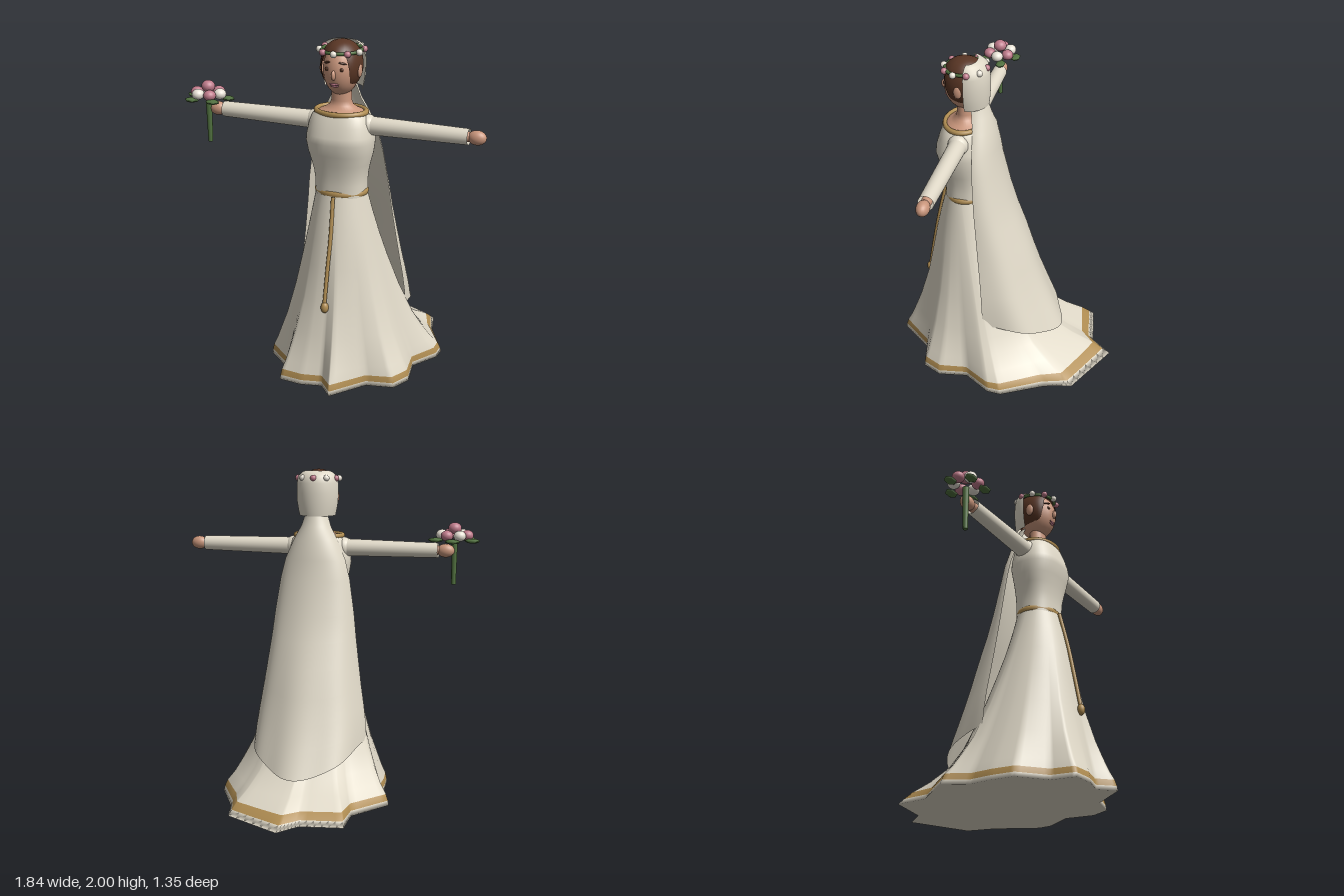
import * as THREE from 'three';

const CX = 0.075, CZ = 0.235; // body axis
const mat = (name, color, side = THREE.FrontSide) => {
  const m = new THREE.MeshStandardMaterial({ color, side });
  m.name = name;
  return m;
};

// Surface from nv + 1 rows of nu columns; point(u, j, i) returns [x, y, z]
function grid(nu, nv, closed, point) {
  const pos = [], idx = [], cols = closed ? nu : nu + 1;
  for (let j = 0; j <= nv; j++) for (let i = 0; i < cols; i++) pos.push(...point(i / nu, j, i));
  for (let j = 0; j < nv; j++) for (let i = 0; i < nu; i++) {
    const a = j * cols + i, b = j * cols + (i + 1) % cols, c = a + cols, d = b + cols;
    idx.push(a, c, b, b, c, d);
  }
  const g = new THREE.BufferGeometry();
  g.setAttribute('position', new THREE.Float32BufferAttribute(pos, 3));
  g.setIndex(idx);
  g.computeVertexNormals();
  return g;
}

export function createModel() {
  const root = new THREE.Group();
  root.name = 'bride';
  const ivory = mat('ivory cloth', 0xe0d9c8, THREE.DoubleSide);
  const gold = mat('gold trim', 0xb08d52, THREE.DoubleSide);
  const skin = mat('skin', 0xc8957b);
  const hairMat = mat('brown hair', 0x583524, THREE.DoubleSide);
  const pink = mat('pink petals', 0xbe7a8a);
  const white = mat('white petals', 0xe8e2d6);
  const green = mat('green leaves', 0x50703e);

  const add = (name, geo, material, x = 0, y = 0, z = 0, parent = root) => {
    const m = new THREE.Mesh(geo, material);
    m.name = name;
    m.position.set(x, y, z);
    parent.add(m);
    return m;
  };
  const ball = (name, material, x, y, z, rx, ry = rx, rz = rx, parent = root) => {
    const m = add(name, new THREE.SphereGeometry(1, 24, 16), material, x, y, z, parent);
    m.scale.set(rx, ry, rz);
    return m;
  };
  const ring = (name, material, y, z, rx, rz, tube) => {
    const g = new THREE.TorusGeometry(rx, tube, 10, 48).rotateX(Math.PI / 2).scale(1, 1, rz / rx);
    return add(name, g, material, CX, y, z);
  };

  // Skirt: waist ellipse spreading into an angular fluted hem with a train
  const hem = [[.08, -.68], [.43, -.505], [.475, -.34], [.61, -.095], [.605, -.01], [.505, .15], [.535, .32],
    [.48, .435], [.32, .47], [.165, .665], [.08, .575], [-.04, .605], [-.18, .595], [-.205, .45], [-.36, .32],
    [-.375, .18], [-.37, .05], [-.455, -.09], [-.275, -.32], [-.275, -.51], [-.02, -.555]].reverse();
  const SUB = 6, NU = hem.length * SUB;
  const hemAt = (i) => {
    const p = hem[Math.floor(i / SUB)], q = hem[(Math.floor(i / SUB) + 1) % hem.length], f = (i % SUB) / SUB;
    const u = (p[0] + (q[0] - p[0]) * f - CX) / .48, v = (p[1] + (q[1] - p[1]) * f) / .59;
    return [Math.atan2(u, v), Math.hypot(u, v)];
  };
  // height, then spread at the sides, back and front; the last row closes the underside
  const skirtRows = [[1.13, 0, 0, 0], [1, .09, .04, .15], [.85, .2, .1, .29], [.7, .32, .18, .4], [.5, .49, .3, .54],
    [.3, .68, .45, .72], [.2, .8, .56, .82], [.12, .89, .73, .9], [.065, .965, .88, .965], [.028, .99, .95, .99],
    [0, 1, 1, 1], [0, 1, 1, 1]];
  const n = skirtRows.length - 1;
  const skirt = grid(NU, n, true, (u, j, i) => {
    if (j === n) return [CX, .01, 0];
    const [y, ts, tb, tf] = skirtRows[j], [a, scale] = hemAt(i), c = Math.cos(a);
    const t = ts + (tb - ts) * Math.max(0, -c) + (tf - ts) * Math.max(0, c) ** 2;
    const k = 1 + (scale - 1) * Math.pow(t, 1.9);
    return [CX + Math.sin(a) * (.15 * (1 - t) + .48 * k * t), y,
      .24 * (1 - t) + c * (.125 * (1 - t) + .59 * k * t)];
  });
  const strip = NU * 6;
  skirt.addGroup(0, strip * (n - 3), 0);
  skirt.addGroup(strip * (n - 3), strip, 1);
  skirt.addGroup(strip * (n - 2), strip * 2, 0);
  add('skirt', skirt, [ivory, gold]);

  // Bodice: height, half width, half depth, centre z
  const bodiceRows = [[1.6, .14, .112, .245], [1.575, .165, .122, .247], [1.53, .182, .136, .25], [1.47, .194, .151, .252],
    [1.43, .197, .156, .253], [1.36, .187, .141, .25], [1.3, .17, .131, .246], [1.24, .156, .124, .242],
    [1.18, .15, .121, .24], [1.11, .15, .122, .24]];
  const bulge = (v) => Math.sign(v) * Math.abs(v) ** .82;
  add('bodice', grid(48, bodiceRows.length - 1, true, (u, j) => {
    const [y, rx, rz, cz] = bodiceRows[j], a = u * 2 * Math.PI;
    return [CX + rx * bulge(Math.sin(a)), y, cz + rz * bulge(Math.cos(a))];
  }), ivory);
  ring('collar', gold, 1.597, .245, .145, .113, .016);
  ring('belt', gold, 1.127, .24, .141, .115, .019).scale.y = 1.15;

  // Hanging cord and tassel
  const cord = new THREE.CatmullRomCurve3([[.077, 1.12, .378], [.082, .9, .427], [.077, .7, .466], [.072, .5, .502]]
    .map((p) => new THREE.Vector3(...p)));
  add('cord', new THREE.TubeGeometry(cord, 24, .012, 8), gold);
  ball('tassel', gold, .074, .48, .503, .023, .034, .023);

  // Arms stretched sideways
  for (const [s, side] of [[1, 'left'], [-1, 'right']]) {
    const arm = new THREE.Group();
    arm.name = side + 'Arm';
    arm.position.set(CX, 1.525, .24);
    root.add(arm);
    ball('shoulderPuff', ivory, s * .155, 0, 0, .062, .064, .062, arm);
    const sleeve = new THREE.CylinderGeometry(.045, .053, .575, 28, 1, true).rotateZ(-s * Math.PI / 2);
    add('sleeve', sleeve, ivory, s * .4575, 0, 0, arm);
    ball('wrist', skin, s * .72, 0, 0, .06, .03, .03, arm);
    ball('hand', skin, s * .789, 0, 0, .053, .041, .037, arm);
  }

  // Neck and head
  const neck = new THREE.LatheGeometry([[.138, 1.595], [.1, 1.612], [.07, 1.632], [.059, 1.66], [.057, 1.76]]
    .map((p) => new THREE.Vector2(...p)), 32).scale(1, 1, .82);
  add('neck', neck, skin, CX, 0, .24);
  ball('head', skin, CX, 1.835, .24, .101, .148, .12);
  const faceZ = (dx, y) => .24 + .12 * Math.sqrt(1 - (dx / .101) ** 2 - ((y - 1.835) / .148) ** 2);
  for (const s of [-1, 1]) {
    ball('eye', hairMat, CX + s * .044, 1.853, faceZ(.044, 1.853), .012, .01, .006);
    const brow = ball('eyebrow', hairMat, CX + s * .046, 1.888, faceZ(.046, 1.888), .024, .006, .007);
    brow.rotation.set(0, s * .5, -s * .25);
    ball('ear', skin, CX + s * .112, 1.835, .25, .013, .038, .024);
  }
  ball('nose', skin, CX, 1.822, .358, .012, .028, .02);
  ball('upperLip', pink, CX, 1.769, faceZ(0, 1.769), .03, .006, .006);
  ball('lowerLip', pink, CX, 1.758, faceZ(0, 1.758), .024, .006, .006);

  // Hair: a shell whose lower edge arches over the face
  add('hair', grid(72, 16, true, (u, j) => {
    const a = (u * 2 - 1) * Math.PI, deg = Math.abs(a) * 180 / Math.PI;
    const limit = .94 + .1 * Math.min(deg / 40, 1) + 1.5 * THREE.MathUtils.smoothstep(deg, 34, 58);
    const th = limit * j / 16;
    return [CX + .118 * Math.sin(th) ** .85 * Math.sin(a), 1.86 + .14 * Math.cos(th),
      CZ + .134 * Math.sin(th) ** .85 * Math.cos(a)];
  }), hairMat);

  // Veil: open half shells given by height, half width, edge z, back z
  const shell = (name, rows, hemLift) => add(name, grid(40, rows.length - 1, false, (u, j) => {
    const [y, rx, zf, zb] = rows[j], a = (u - .5) * Math.PI, t = j / (rows.length - 1);
    const fold = 1 + hemLift * .15 * t * t * Math.cos(a * 7 + .6);
    const lift = hemLift * t ** 4 * Math.sin(a) ** 2;
    return [CX - rx * fold * Math.sin(a), y + lift, zf + (zb - zf) * fold * Math.cos(a)];
  }), ivory);
  shell('veilHood', [[1.992, .07, .21, .165], [1.983, .094, .213, .134], [1.96, .12, .215, .107], [1.92, .128, .215, .096],
    [1.86, .13, .215, .093], [1.8, .127, .215, .095], [1.75, .118, .215, .099], [1.722, .112, .215, .103]], 0);
  shell('veil', [[1.74, .066, .19, .108], [1.66, .092, .178, .088], [1.58, .135, .165, .06], [1.46, .188, .157, .043],
    [1.34, .218, .15, .028], [1.13, .25, .135, -.02], [.97, .268, .12, -.07], [.81, .288, .105, -.13],
    [.65, .308, .09, -.18], [.5, .328, .078, -.23], [.35, .342, .07, -.29], [.2, .348, .065, -.355]], .16);

  // Flower circlet
  const circlet = new THREE.Group();
  circlet.name = 'circlet';
  circlet.position.set(CX, 1.945, CZ);
  circlet.rotation.x = .05;
  root.add(circlet);
  add('vine', new THREE.TorusGeometry(.113, .01, 8, 40).rotateX(Math.PI / 2), green, 0, 0, 0, circlet);
  for (let i = 0; i < 10; i++) {
    const a = i * Math.PI / 5;
    ball('circletFlower', i % 2 ? white : pink, .125 * Math.sin(a), 0, -.125 * Math.cos(a), .019, .019, .019, circlet);
  }

  // Bouquet
  const bouquet = new THREE.Group();
  bouquet.name = 'bouquet';
  bouquet.position.set(-.763, 0, .262);
  root.add(bouquet);
  add('stems', new THREE.CylinderGeometry(.019, .014, .27, 12), green, 0, 1.455, 0, bouquet);
  for (let i = 0; i < 5; i++) {
    const a = i * 2 * Math.PI / 5;
    const leaf = add('leaf', new THREE.SphereGeometry(1, 6, 6), green, .116 * Math.sin(a), 1.588, -.1 * Math.cos(a), bouquet);
    leaf.scale.set(.045, .014, .032);
  }
  for (let i = 0; i < 6; i++) {
    const a = i * Math.PI / 3 + Math.PI / 6;
    ball('flower', i % 2 ? white : pink, .076 * Math.sin(a), 1.618, -.066 * Math.cos(a), .037, .032, .037, bouquet);
  }
  ball('topFlower', pink, 0, 1.658, 0, .04, .036, .04, bouquet);

  return root;
}
